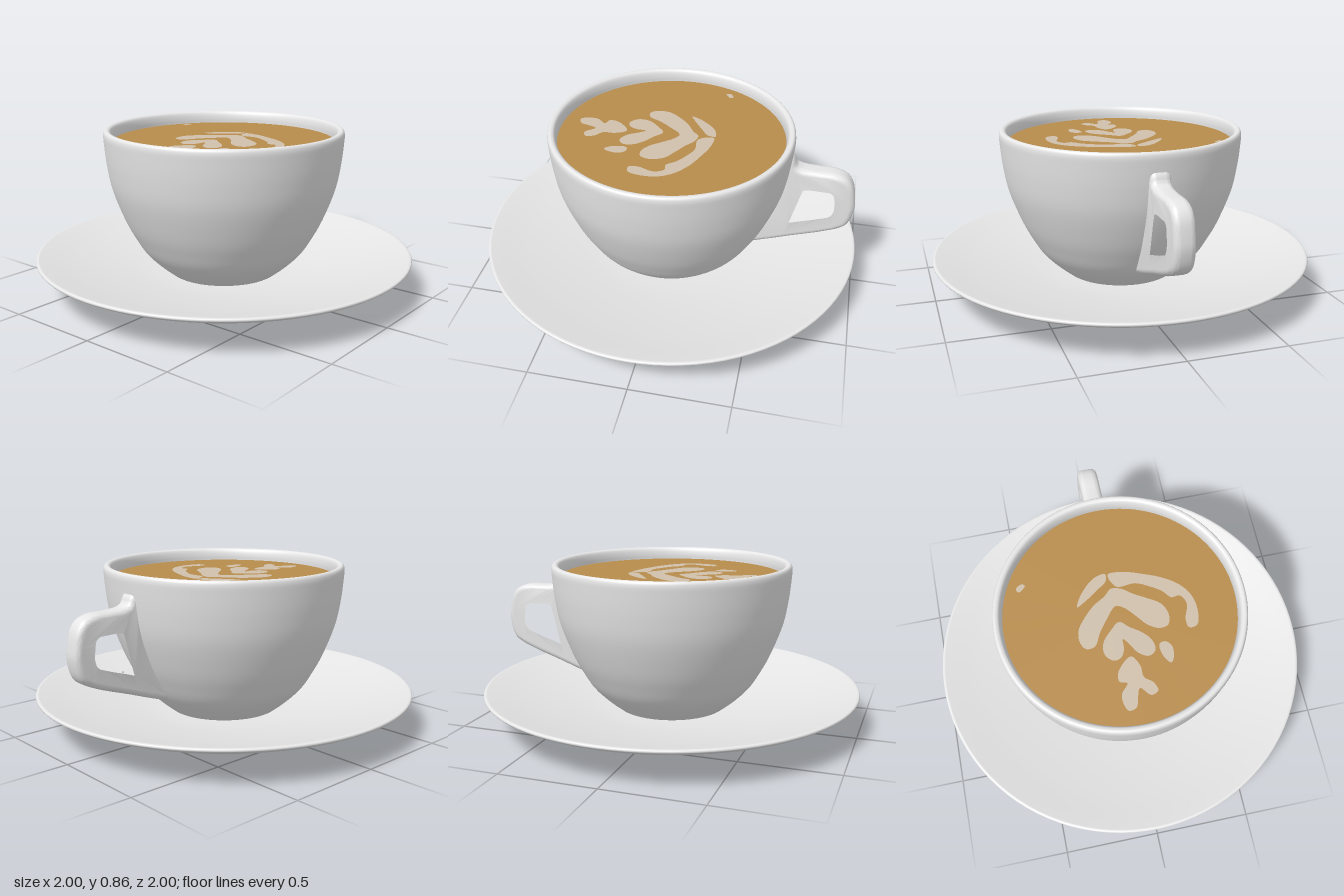
import * as THREE from 'three';
import { mergeVertices, toCreasedNormals } from 'three/addons/utils/BufferGeometryUtils.js';

const vec = (list) => list.map(([x, y]) => new THREE.Vector2(x, y));

function material(name, color) {
  const m = new THREE.MeshStandardMaterial({ color });
  m.name = name;
  return m;
}

function mesh(name, geometry, mat) {
  const m = new THREE.Mesh(geometry, mat);
  m.name = name;
  return m;
}

// Smooth round body from a profile running from the base, up the outside and back in
const turned = (list, steps = 80) => {
  const pts = new THREE.SplineCurve(vec(list)).getPoints(steps);
  pts.forEach((p) => { p.x = Math.max(p.x, 0); });
  return new THREE.LatheGeometry(pts, 96);
};

export function createModel() {
  const group = new THREE.Group();
  const ceramic = material('white ceramic', 0xe6e6e6);
  const coffee = material('coffee', 0xb88c4c);
  const foam = material('milk foam', 0xcfc0ac);

  // Saucer: shallow dish with a thin rounded rim
  group.add(mesh('saucer', turned([
    [0, 0], [0.2, 0.001], [0.38, 0.008], [0.6, 0.05], [0.8, 0.105], [0.95, 0.16],
    [0.993, 0.181], [1, 0.193], [0.99, 0.2], [0.96, 0.194], [0.8, 0.155],
    [0.6, 0.115], [0.4, 0.085], [0.2, 0.073], [0, 0.07],
  ], 100), ceramic));

  // Cup: round bowl with a rolled lip
  group.add(mesh('cup', turned([
    [0, 0.075], [0.25, 0.08], [0.31, 0.1], [0.42, 0.2], [0.485, 0.3], [0.535, 0.4],
    [0.59, 0.55], [0.615, 0.68], [0.627, 0.8], [0.628, 0.84], [0.62, 0.858],
    [0.605, 0.86], [0.592, 0.85], [0.584, 0.82], [0.58, 0.76], [0.55, 0.6],
    [0.44, 0.32], [0.25, 0.16], [0, 0.13],
  ], 120), ceramic));

  // Handle: rounded loop with a web that runs along the cup wall
  const outer = new THREE.SplineCurve(vec([
    [0.6, 0.79], [0.632, 0.755], [0.65, 0.72], [0.69, 0.706], [0.76, 0.701], [0.84, 0.699],
    [0.9, 0.678], [0.937, 0.63], [0.955, 0.55], [0.958, 0.49], [0.94, 0.415],
    [0.9, 0.372], [0.8, 0.328], [0.66, 0.28], [0.54, 0.237], [0.43, 0.2],
  ])).getPoints(70);
  const shape = new THREE.Shape([...outer, ...vec([[0.37, 0.21], [0.5, 0.45], [0.565, 0.65]])]);
  const hole = new THREE.CatmullRomCurve3([
    [0.655, 0.57], [0.672, 0.612], [0.71, 0.626], [0.78, 0.627], [0.84, 0.622], [0.872, 0.595],
    [0.886, 0.53], [0.885, 0.47], [0.86, 0.425], [0.8, 0.398], [0.7, 0.365],
    [0.63, 0.345], [0.605, 0.358], [0.615, 0.41], [0.637, 0.5],
  ].map(([x, y]) => new THREE.Vector3(x, y, 0)), true).getPoints(70).slice(0, -1);
  shape.holes.push(new THREE.Path(hole.map((p) => new THREE.Vector2(p.x, p.y))));
  const bevel = 0.03;
  const half = 0.053;
  let loop = new THREE.ExtrudeGeometry(shape, {
    depth: 2 * (half - bevel), bevelEnabled: true, bevelSize: bevel,
    bevelThickness: bevel, bevelOffset: -bevel, bevelSegments: 6,
  });
  loop.translate(0, 0, bevel - half);
  loop.deleteAttribute('uv');
  loop.deleteAttribute('normal');
  loop = toCreasedNormals(mergeVertices(loop, 1e-4), 0.9);
  group.add(mesh('handle', loop, ceramic));

  // Coffee surface
  const surface = new THREE.CircleGeometry(0.584, 96).rotateX(-Math.PI / 2);
  surface.translate(0, 0.795, 0);
  group.add(mesh('coffeeSurface', surface, coffee));

  // Foam pattern: each patch is a closed outline in hundredths, x then z
  const art = new THREE.Group();
  art.name = 'foamPattern';
  group.add(art);
  const patch = (name, list) => {
    const curve = new THREE.CatmullRomCurve3(
      list.map(([x, z]) => new THREE.Vector3(x / 100, -z / 100, 0)), true);
    const pts = curve.getPoints(list.length * 5).slice(0, -1);
    const geo = new THREE.ShapeGeometry(new THREE.Shape(pts.map((p) => new THREE.Vector2(p.x, p.y))));
    geo.rotateX(-Math.PI / 2).translate(0, 0.799, 0);
    art.add(mesh(name, geo, foam));
  };
  patch('smallHeart', [
    [-50, -6], [-45, -8], [-41, -7.5], [-36.5, -4], [-35, -7.5], [-30, -7], [-23.5, 0.5],
    [-29, 4], [-35, 4.5], [-38.5, 8.5], [-43, 9.8], [-44.5, 6], [-40, 1.5], [-44.5, -0.5], [-49, -2],
  ]);
  patch('middleHeart', [
    [-24, -8], [-20, -11.8], [-14, -11.2], [-8.5, -6.5], [-4.8, -1.5], [-8.5, 3], [-12, 8],
    [-17, 12.3], [-22.5, 13], [-25, 9.5], [-22.5, 4.5], [-17, 1], [-14, -1.5], [-19, -2], [-23, -4],
  ]);
  patch('largeHeart', [
    [-15.5, -20], [-12, -22.3], [-5.5, -22], [1, -17.5], [6.5, -11.8], [10, -6], [13.5, -2],
    [12.5, 3], [8.5, 8.5], [5, 14.5], [0.5, 21], [-6, 23.5], [-11, 22], [-12, 17.5],
    [-9, 12], [-3, 7], [2, 2.5], [3.8, -1.5], [-2, -7], [-8.5, -11.8], [-15, -15.5],
  ]);
  patch('upperStroke', [
    [7, -20.3], [11, -18.7], [16.5, -14.5], [21, -9], [22, -3.2], [18, -3.7], [14, -9], [9.5, -15.5],
  ]);
  patch('lowerStroke', [
    [14, 1], [21.4, -2], [21.4, 5.5], [18, 16], [14, 25], [8.5, 32.5], [2, 36.8], [-6.5, 38],
    [-14, 36], [-14.5, 31.7], [-10, 31], [-2, 33.5], [3, 31], [2.8, 26.7], [7, 23], [10.7, 17.5], [14, 10.5],
  ]);
  patch('foamSpot', [[-30.5, 19], [-26.5, 16], [-20, 15.5], [-19.3, 18.7], [-22.5, 21.4], [-29, 20.5]]);
  patch('foamFleck', [[20.8, -47.5], [23, -48.5], [25, -45], [23.7, -43.8]]);

  return group;
}
